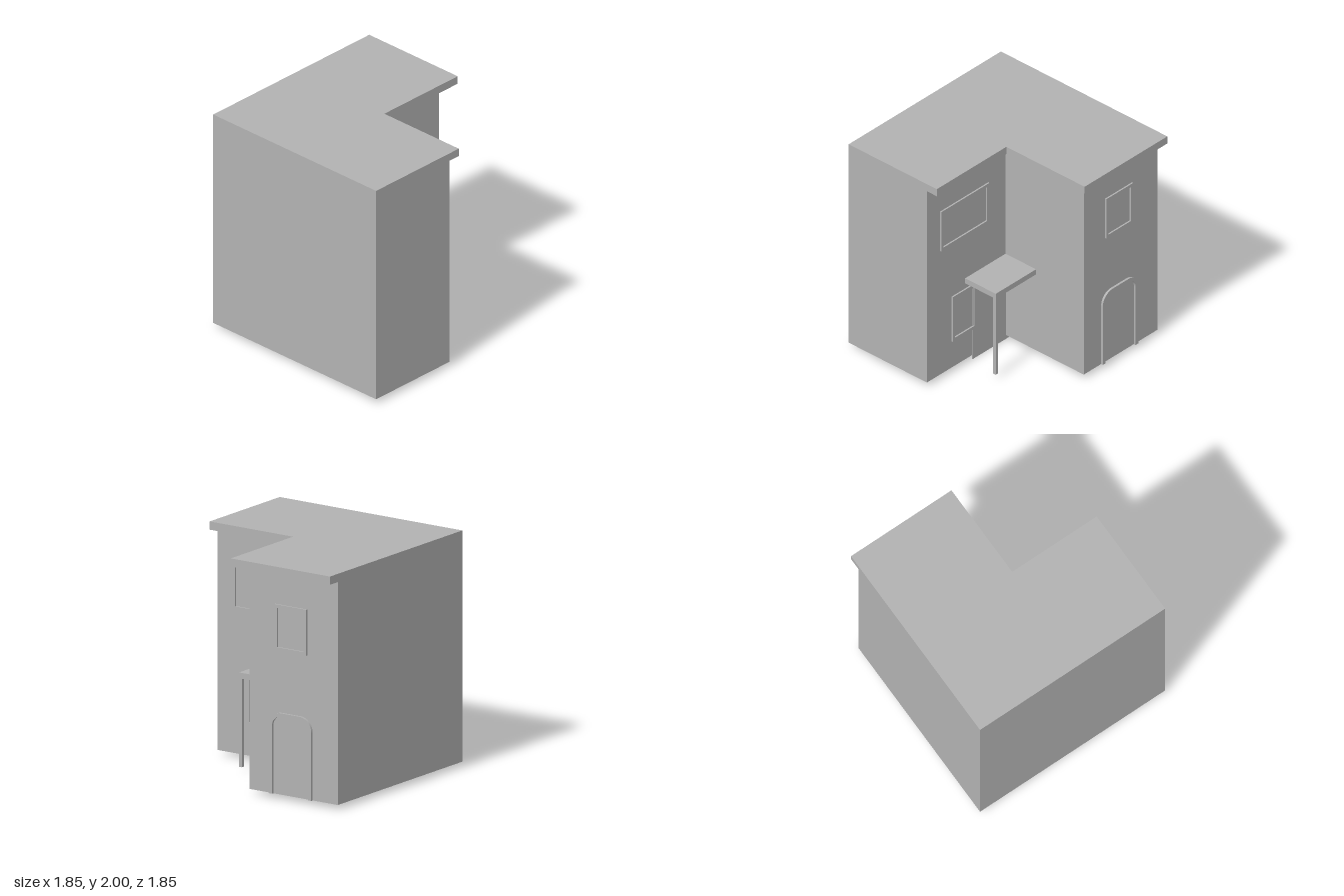
import * as THREE from 'three';

export function createModel() {
  const house = new THREE.Group();
  house.name = 'house';
  const grey = new THREE.MeshStandardMaterial({ color: 0xb2b2b2 });
  grey.name = 'plain grey';

  const add = (name, geometry, x = 0, y = 0, z = 0) => {
    const mesh = new THREE.Mesh(geometry, grey);
    mesh.name = name;
    mesh.position.set(x, y, z);
    house.add(mesh);
  };
  // Box given by its extents on each axis
  const box = (name, [x0, x1], [y0, y1], [z0, z1]) =>
    add(name, new THREE.BoxGeometry(x1 - x0, y1 - y0, z1 - z0), (x0 + x1) / 2, (y0 + y1) / 2, (z0 + z1) / 2);
  const extrude = (shape, depth) =>
    new THREE.ExtrudeGeometry(shape, { depth, bevelEnabled: false, curveSegments: 8 });

  const E = 0.925;                       // half width of the block
  const innerX = -0.03, innerZ = 0.055;  // walls of the notch
  const backZ = -0.815, floorY = 0.04, eaveY = 1.93;

  // L-shaped slab with a notch in its back left corner
  const slab = (name, nx, nz, bz, y0, y1) => {
    const plan = new THREE.Shape(
      [[-E, bz], [nx, bz], [nx, nz], [E, nz], [E, E], [-E, E]].map(([x, z]) => new THREE.Vector2(x, z)));
    add(name, extrude(plan, y1 - y0).rotateX(Math.PI / 2), 0, y1, 0);
  };
  slab('walls', innerX, innerZ, backZ, floorY, eaveY);
  slab('roof', 0.08, -0.055, -E, eaveY, 2);

  // Window frames, standing out from the back walls
  const rect = (P, x0, x1, y0, y1) => {
    const p = new P();
    p.moveTo(x0, y0).lineTo(x1, y0).lineTo(x1, y1).lineTo(x0, y1).closePath();
    return p;
  };
  const windowFrame = (name, x0, x1, y0, y1, wallZ) => {
    const t = 0.028, depth = 0.014;
    const frame = rect(THREE.Shape, x0, x1, y0, y1);
    frame.holes.push(rect(THREE.Path, x0 + t, x1 - t, y0 + t, y1 - t));
    add(name, extrude(frame, depth), 0, 0, wallZ - depth);
  };
  windowFrame('upperWideWindow', 0.18, 0.765, 1.26, 1.65, innerZ);
  windowFrame('lowerWindow', 0.335, 0.625, 0.3, 0.74, innerZ);
  windowFrame('upperBackWindow', -0.615, -0.29, 1.26, 1.65, backZ);

  // Rounded door frame, open at the floor
  const x0 = -0.67, x1 = -0.24, top = 0.735, r = 0.12, t = 0.032;
  const arch = new THREE.Shape();
  arch.moveTo(x0, floorY).lineTo(x0 + t, floorY).lineTo(x0 + t, top - r);
  arch.absarc(x0 + r, top - r, r - t, Math.PI, Math.PI / 2, true);
  arch.absarc(x1 - r, top - r, r - t, Math.PI / 2, 0, true);
  arch.lineTo(x1 - t, floorY).lineTo(x1, floorY).lineTo(x1, top - r);
  arch.absarc(x1 - r, top - r, r, 0, Math.PI / 2, false);
  arch.absarc(x0 + r, top - r, r, Math.PI / 2, Math.PI, false);
  arch.closePath();
  add('doorFrame', extrude(arch, 0.02), 0, 0, backZ - 0.02);

  // Porch: door panel reaching below the floor, canopy and post
  box('porchDoor', [-0.07, 0.375], [0, 0.71], [innerZ - 0.004, innerZ + 0.001]);
  box('porchCanopy', [innerX, 0.46], [0.79, 0.84], [-0.285, innerZ]);
  box('porchPost', [0.43, 0.46], [floorY, 0.79], [-0.285, -0.255]);

  return house;
}
